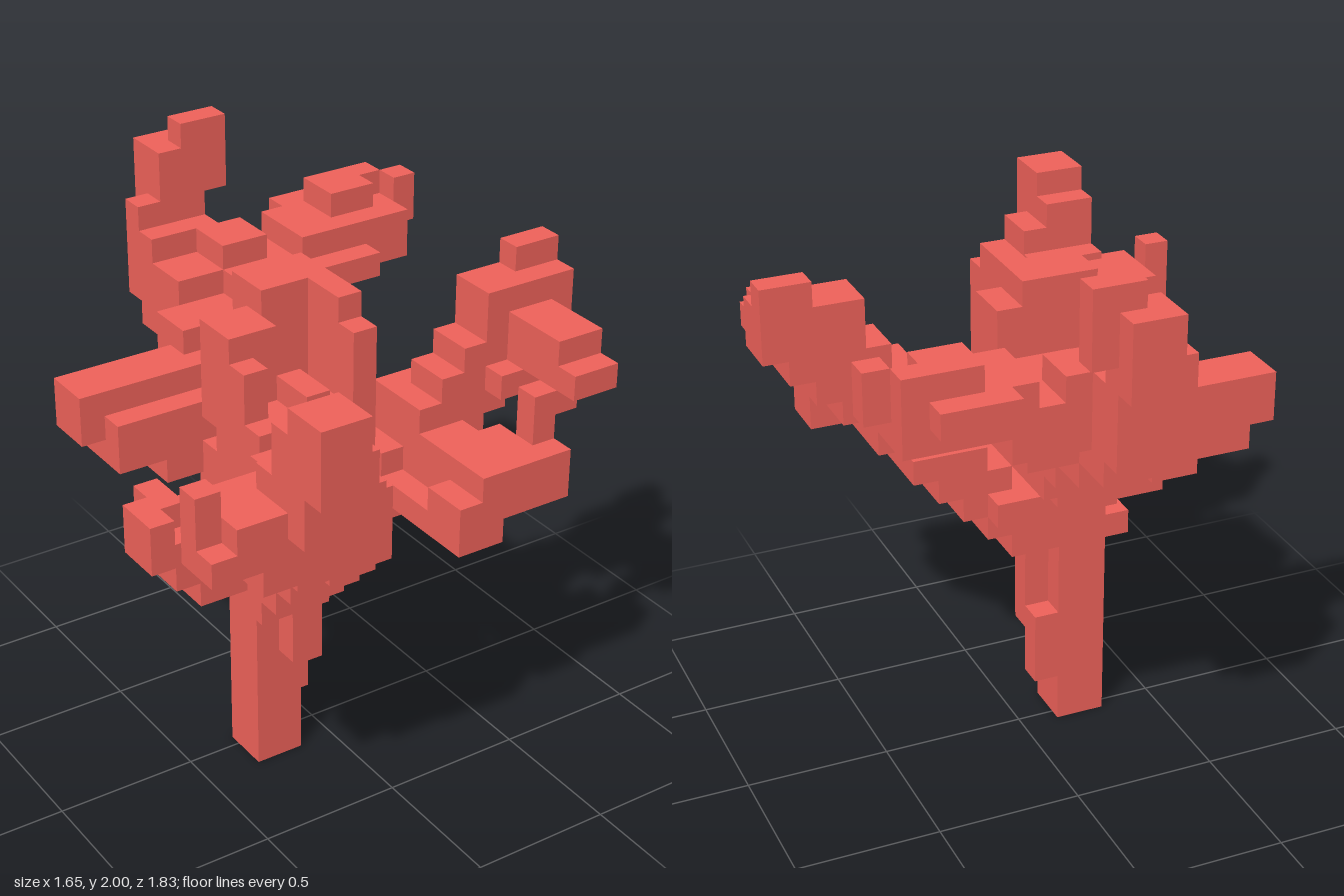
import * as THREE from 'three';

const U = 2 / 23; // size of one voxel

// Each slab is [x0, x1, y0, y1, z0, z1] in voxel steps (19 wide, 23 high, 21 deep)
const branches = {
  trunk: [
    [6, 8, 0, 14, 10, 12], [8, 9, 2, 5, 10, 11], [8, 9, 4, 8, 11, 12],
    [7, 8, 5, 8, 12, 13], [6, 9, 8, 13, 10, 13], [5, 10, 12, 14, 10, 13],
  ],
  centreLump: [
    [5, 9, 13, 16, 11, 14], [5, 10, 15, 16, 10, 13], [7, 10, 16, 20, 9, 11],
    [9, 10, 13, 20, 11, 13], [9, 10, 13, 19, 13, 14], [10, 11, 16, 19, 9, 11],
    [5, 7, 13, 19, 11, 12], [5, 7, 15, 19, 10, 11], [5, 6, 13, 18, 12, 13],
    [7, 8, 13, 17, 12, 14], [7, 8, 12, 16, 14, 16], [8, 9, 13, 15, 13, 15],
  ],
  frontRightBranch: [
    [5, 8, 8, 9, 11, 14], [5, 8, 9, 10, 12, 15], [5, 8, 10, 11, 12, 16],
    [6, 8, 11, 12, 12, 17], [4, 8, 12, 13, 14, 18], [2, 7, 13, 14, 16, 19],
    [5, 8, 13, 14, 14, 18], [0, 7, 14, 15, 17, 19], [1, 8, 14, 15, 16, 18],
    [4, 6, 14, 16, 15, 17], [5, 7, 14, 15, 14, 16], [1, 6, 15, 16, 16, 19],
    [6, 7, 15, 16, 17, 19], [3, 6, 15, 17, 17, 20], [0, 1, 15, 17, 17, 18],
    [3, 6, 17, 18, 18, 20], [3, 5, 17, 19, 18, 21], [3, 5, 19, 20, 19, 21],
  ],
  rightTwig: [
    [5, 7, 8, 9, 10, 13], [3, 7, 9, 10, 11, 13], [2, 6, 10, 11, 11, 13],
    [1, 4, 11, 12, 11, 13], [2, 4, 10, 12, 10, 11], [1, 2, 12, 13, 11, 13],
    [2, 3, 12, 13, 10, 12],
  ],
  backRightBranch: [
    [6, 9, 11, 12, 8, 10], [4, 10, 12, 13, 7, 9], [6, 10, 12, 13, 9, 10],
    [2, 10, 13, 14, 6, 9], [1, 10, 14, 16, 6, 8], [2, 10, 14, 15, 8, 9],
  ],
  backBranch: [
    [6, 11, 10, 11, 9, 11], [7, 10, 14, 15, 4, 7], [6, 10, 15, 17, 5, 7],
    [7, 10, 15, 17, 2, 6], [7, 10, 16, 18, 1, 5], [7, 10, 18, 19, 1, 3],
    [7, 8, 19, 20, 1, 2], [8, 10, 19, 22, 0, 1], [8, 10, 19, 20, 1, 2],
    [8, 11, 20, 22, 1, 2], [9, 11, 22, 23, 1, 2],
  ],
  backLeftBranch: [
    [9, 12, 15, 16, 4, 7], [9, 13, 16, 17, 3, 7], [9, 15, 17, 18, 3, 7],
    [9, 11, 18, 19, 3, 5], [14, 17, 17, 18, 3, 6], [12, 17, 18, 19, 3, 6],
    [13, 16, 18, 19, 2, 4], [14, 17, 19, 20, 3, 4], [14, 16, 19, 20, 4, 5],
    [17, 18, 18, 20, 4, 5],
  ],
  leftBranch: [
    [8, 10, 8, 9, 10, 13], [8, 11, 9, 10, 10, 13], [8, 12, 10, 11, 10, 13],
    [10, 13, 11, 12, 10, 13], [11, 14, 12, 13, 10, 13], [12, 15, 13, 14, 11, 14],
    [12, 15, 14, 15, 11, 14], [15, 16, 14, 15, 12, 14], [13, 17, 15, 16, 12, 14],
    [14, 18, 16, 17, 12, 14], [15, 19, 17, 19, 12, 14], [17, 19, 19, 20, 12, 13],
  ],
  frontLeftBranch: [
    [11, 13, 11, 12, 12, 18], [12, 14, 12, 14, 13, 16], [11, 16, 12, 13, 16, 18],
    [12, 16, 13, 14, 16, 18], [12, 15, 13, 14, 15, 17], [15, 16, 14, 15, 16, 17],
    [15, 17, 15, 16, 16, 17], [15, 17, 15, 16, 14, 15], [16, 18, 16, 18, 14, 17],
    [16, 18, 16, 17, 17, 18],
  ],
};

export function createModel() {
  const model = new THREE.Group();
  model.name = 'voxelCoral';
  const material = new THREE.MeshStandardMaterial({ color: 0xf0625a, flatShading: true });

  for (const [name, slabs] of Object.entries(branches)) {
    const branch = new THREE.Group();
    branch.name = name;
    for (const [x0, x1, y0, y1, z0, z1] of slabs) {
      const geometry = new THREE.BoxGeometry((x1 - x0) * U, (y1 - y0) * U, (z1 - z0) * U);
      const slab = new THREE.Mesh(geometry, material);
      slab.name = name + 'Slab';
      slab.position.set(((x0 + x1) / 2 - 9.5) * U, ((y0 + y1) / 2) * U, ((z0 + z1) / 2 - 10.5) * U);
      branch.add(slab);
    }
    model.add(branch);
  }
  return model;
}
